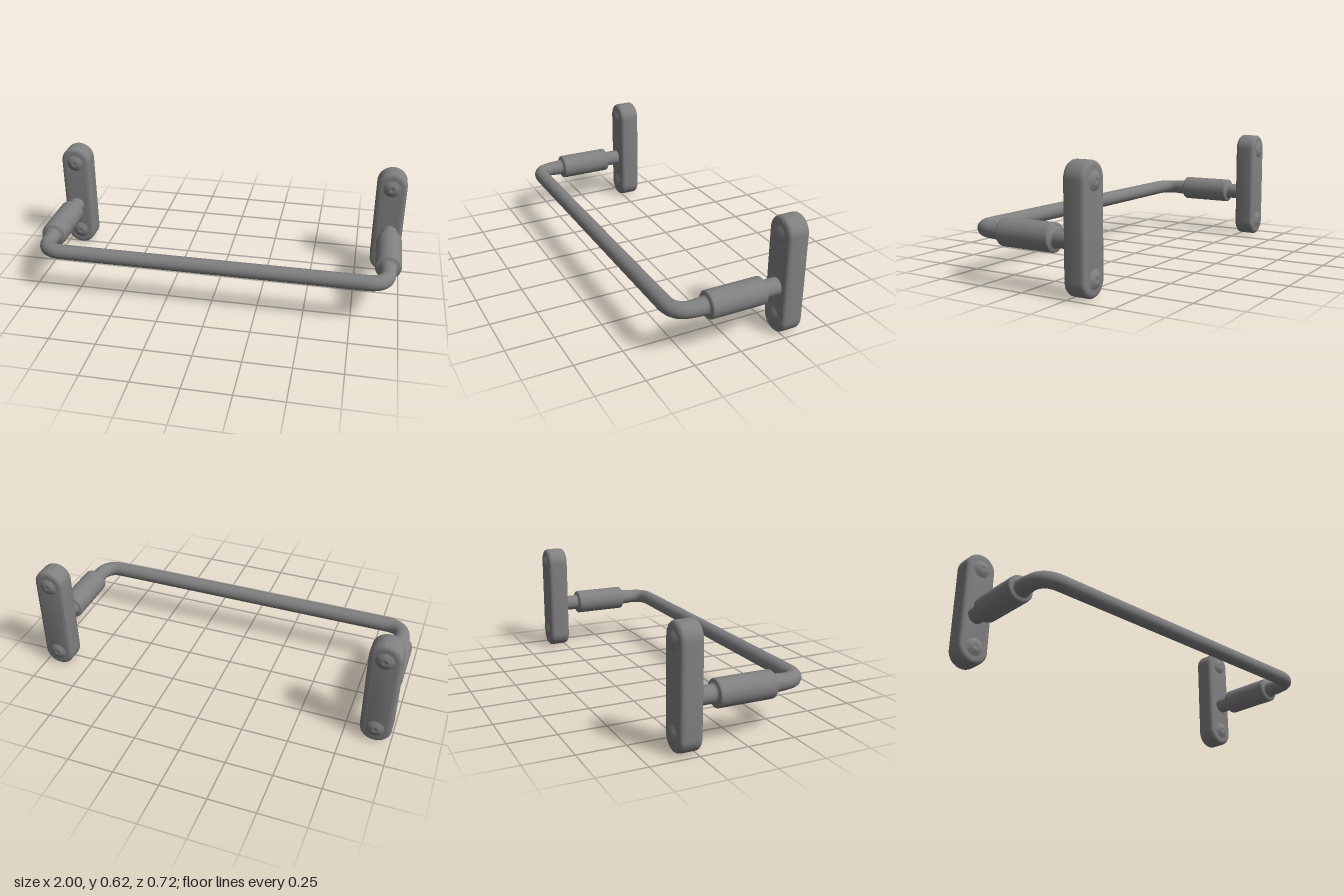
import * as THREE from 'three';
import { toCreasedNormals } from 'three/addons/utils/BufferGeometryUtils.js';

const material = new THREE.MeshStandardMaterial({ color: 0x808080 });
const AXIS_Y = 0.258, ARM_X = 0.925, PLATE_X = 0.915, BAR_Z = 0.321;
const PLATE_MID_Z = -0.289, PLATE_DEPTH = 0.118;

function mesh(name, geometry) {
  const m = new THREE.Mesh(geometry, material);
  m.name = name;
  return m;
}

// Smooth lathe turned about the z axis; points are [radius, z]
function turned(points, segments = 32) {
  const g = new THREE.LatheGeometry(points.map(([r, z]) => new THREE.Vector2(r, z)), segments);
  return g.rotateX(Math.PI / 2);
}

// Upright rounded-end plate with softened edges
function plateGeometry() {
  const bevel = 0.022, r = 0.083 - bevel, top = 0.31 - bevel;
  const s = new THREE.Shape();
  s.absarc(0, top - r, r, 0, Math.PI, false);
  s.absarc(0, -top + r, r, Math.PI, Math.PI * 2, false);
  s.closePath();
  const depth = PLATE_DEPTH - 2 * bevel;
  const g = new THREE.ExtrudeGeometry(s, {
    depth, bevelSize: bevel, bevelThickness: bevel, bevelSegments: 4, curveSegments: 14,
  });
  g.translate(0, 0, -depth / 2);
  return toCreasedNormals(g, 0.8);
}

// U-shaped rod: two arms, two bends and the long crossbar
function barGeometry() {
  const bend = 0.105;
  const v = (x, z) => new THREE.Vector3(x, AXIS_Y, z);
  const path = new THREE.CurvePath();
  path.add(new THREE.LineCurve3(v(-ARM_X, -0.26), v(-ARM_X, BAR_Z - bend)));
  path.add(new THREE.QuadraticBezierCurve3(v(-ARM_X, BAR_Z - bend), v(-ARM_X, BAR_Z), v(-ARM_X + bend, BAR_Z)));
  path.add(new THREE.LineCurve3(v(-ARM_X + bend, BAR_Z), v(ARM_X - bend, BAR_Z)));
  path.add(new THREE.QuadraticBezierCurve3(v(ARM_X - bend, BAR_Z), v(ARM_X, BAR_Z), v(ARM_X, BAR_Z - bend)));
  path.add(new THREE.LineCurve3(v(ARM_X, BAR_Z - bend), v(ARM_X, -0.26)));
  return new THREE.TubeGeometry(path, 200, 0.041, 20, false);
}

export function createModel() {
  const model = new THREE.Group();
  model.name = 'wallBar';
  model.add(mesh('bar', barGeometry()));

  const plate = plateGeometry();
  // Grip sleeve with a straight neck behind and a slightly tapered one in front
  const sleeve = turned([
    [0.045, -0.24], [0.045, -0.16], [0.047, -0.151], [0.053, -0.146], [0.064, -0.144],
    [0.069, -0.14], [0.07, -0.132], [0.07, 0.145], [0.069, 0.152], [0.064, 0.157],
    [0.053, 0.159], [0.047, 0.162], [0.045, 0.17], [0.041, 0.24],
  ]);
  // Low dome that blends into the plate, with a faint dimple
  const screw = turned([
    [0.054, -0.003], [0.046, 0.001], [0.036, 0.006], [0.026, 0.011],
    [0.018, 0.0135], [0.012, 0.013], [0.006, 0.011], [0, 0.0105],
  ], 24);

  for (const side of [-1, 1]) {
    const mount = new THREE.Group();
    mount.name = side > 0 ? 'leftMount' : 'rightMount';

    const p = mesh('plate', plate);
    p.position.set(side * PLATE_X, 0.31, PLATE_MID_Z);
    const s = mesh('sleeve', sleeve);
    s.position.set(side * ARM_X, AXIS_Y, 0);
    mount.add(p, s);

    // Screw heads on both faces of the plate
    for (const y of [0.09, 0.53]) {
      for (const face of [-1, 1]) {
        const m = mesh(face > 0 ? 'frontScrew' : 'backScrew', screw);
        m.position.set(side * PLATE_X, y, PLATE_MID_Z + face * PLATE_DEPTH / 2);
        if (face < 0) m.rotation.y = Math.PI;
        mount.add(m);
      }
    }
    model.add(mount);
  }
  return model;
}
